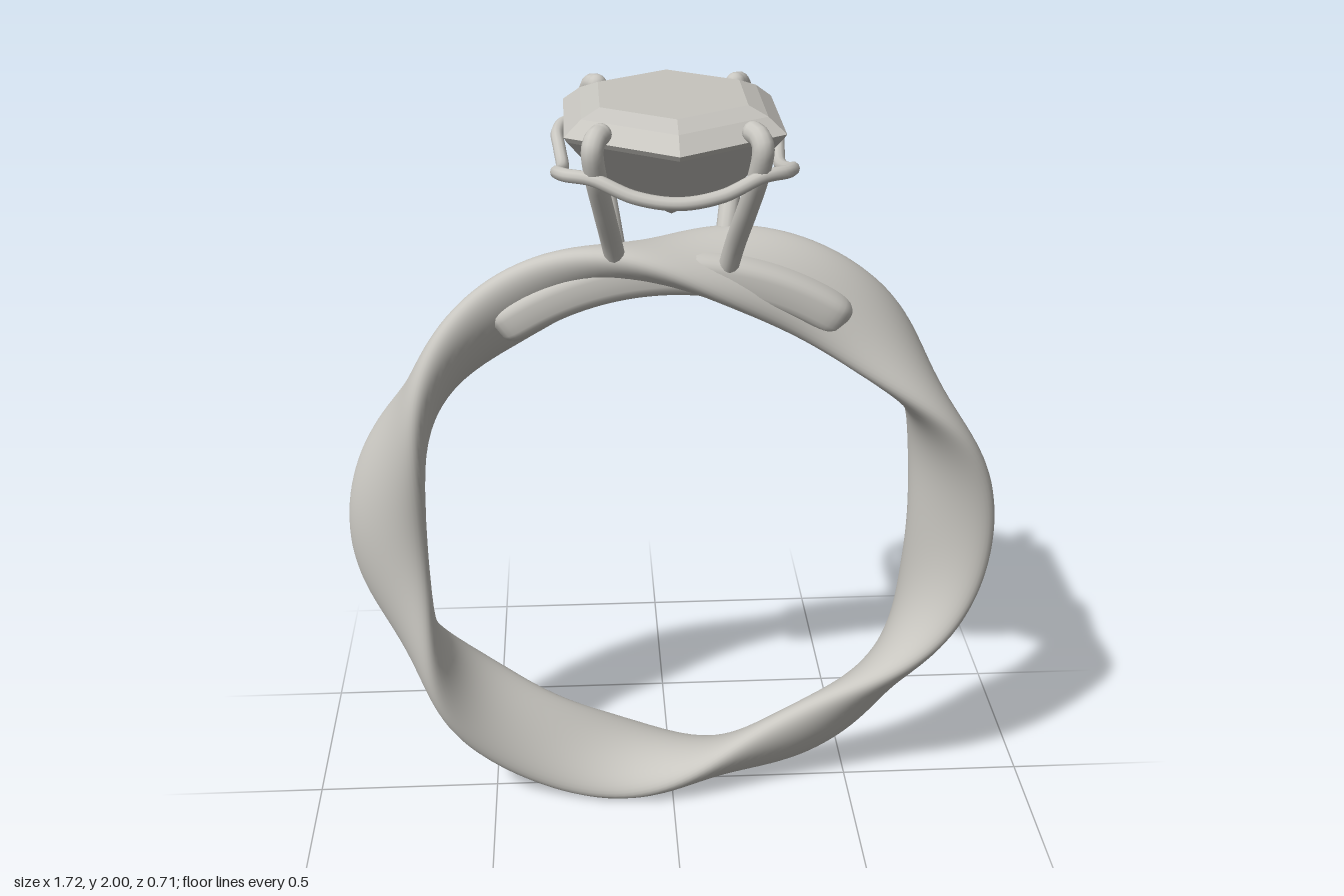
import * as THREE from 'three';

const CY = 0.8225, R = 0.755; // ring centre height and mid radius

// Sweeps a section around the z axis; section(theta, phi, t) returns [radial, z].
function sweep(from, to, n, m, closed, section) {
  const pos = [], index = [], rows = closed ? n : n + 1;
  for (let i = 0; i < rows; i++) {
    const t = i / n, a = from + (to - from) * t;
    for (let j = 0; j < m; j++) {
      const [r, z] = section(a, (j / m) * Math.PI * 2, t);
      pos.push(Math.cos(a) * r, CY + Math.sin(a) * r, z);
    }
  }
  for (let i = 0; i < n; i++) {
    for (let j = 0; j < m; j++) {
      const k = (j + 1) % m, i2 = (i + 1) % rows;
      const a = i * m + j, b = i2 * m + j, c = i2 * m + k, d = i * m + k;
      index.push(a, b, c, a, c, d);
    }
  }
  const g = new THREE.BufferGeometry();
  g.setAttribute('position', new THREE.Float32BufferAttribute(pos, 3));
  g.setIndex(index);
  g.computeVertexNormals();
  return g;
}

// Faceted stone from stacked scaled hexagons, listed from bottom to top.
function gemGeometry() {
  const hex = [[0, 0.355], [0.26, 0.18], [0.26, -0.18], [0, -0.355], [-0.26, -0.18], [-0.26, 0.18]];
  const levels = [[0, 1.7], [0.58, 1.8], [0.97, 1.932], [1, 1.945], [0.84, 1.98], [0.67, 2], [0, 2]];
  const pos = [];
  const p = (l, k) => [hex[k % 6][0] * l[0], l[1], hex[k % 6][1] * l[0]];
  for (let i = 0; i < levels.length - 1; i++) {
    const lo = levels[i], hi = levels[i + 1];
    for (let k = 0; k < 6; k++) {
      const a = p(lo, k), b = p(lo, k + 1), c = p(hi, k + 1), d = p(hi, k);
      if (lo[0] > 0) pos.push(...a, ...b, ...c);
      if (hi[0] > 0) pos.push(...a, ...c, ...d);
    }
  }
  const g = new THREE.BufferGeometry();
  g.setAttribute('position', new THREE.Float32BufferAttribute(pos, 3));
  g.computeVertexNormals();
  return g;
}

export function createModel() {
  const group = new THREE.Group();
  group.name = 'ring';
  const metal = new THREE.MeshStandardMaterial({ color: 0xc9c7c1 });
  metal.name = 'metal';
  const stone = new THREE.MeshStandardMaterial({ color: 0xc6c4be });
  stone.name = 'stone';
  const add = (name, geo, mat = metal) => {
    const mesh = new THREE.Mesh(geo, mat);
    mesh.name = name;
    group.add(mesh);
    return mesh;
  };

  // Band: an elliptical section that rocks back and forth three times per turn
  add('twistedBand', sweep(0, Math.PI * 2, 216, 40, true, (a, phi) => {
    const tilt = Math.PI / 2 - THREE.MathUtils.degToRad(55) * Math.cos(3 * a);
    const u = 0.125 * Math.cos(phi), v = 0.056 * Math.sin(phi);
    return [
      R + u * Math.cos(tilt) - v * Math.sin(tilt),
      u * Math.sin(tilt) + v * Math.cos(tilt),
    ];
  }));

  // Reinforcing bar under the setting, rounded off at both ends
  const half = THREE.MathUtils.degToRad(37);
  const soft = (v) => Math.sign(v) * Math.pow(Math.abs(v), 0.6);
  add('shoulderBar', sweep(Math.PI / 2 - half, Math.PI / 2 + half, 64, 32, false, (a, phi, t) => {
    const k = Math.pow(Math.max(0, 1 - Math.pow(Math.abs(2 * t - 1), 24)), 0.5);
    return [0.74 + 0.058 * k * soft(Math.cos(phi)), 0.094 * k * soft(Math.sin(phi))];
  }));

  // Gem
  stone.flatShading = false;
  add('gem', gemGeometry(), stone);

  // Four claws with rounded tips folding over the gem
  for (const sx of [1, -1]) {
    for (const sz of [1, -1]) {
      const pts = [
        [0.135, 1.57, 0.06], [0.15, 1.66, 0.11], [0.17, 1.77, 0.19],
        [0.188, 1.87, 0.252], [0.195, 1.94, 0.272], [0.187, 1.962, 0.255], [0.175, 1.966, 0.232],
      ].map(([x, y, z]) => new THREE.Vector3(x * sx, y, z * sz));
      add('claw', new THREE.TubeGeometry(new THREE.CatmullRomCurve3(pts), 40, 0.026, 12));
      for (const end of [pts[0], pts[pts.length - 1]]) {
        add('clawEnd', new THREE.SphereGeometry(0.026, 12, 8)).position.copy(end);
      }
    }
  }

  // Wavy wire rail joining the claws
  const quarter = [[0.265, 1.825, 0], [0.272, 1.84, 0.1], [0.277, 1.862, 0.175], [0.255, 1.872, 0.235],
    [0.195, 1.872, 0.272], [0.1, 1.838, 0.305], [0, 1.825, 0.317]];
  const flip = (list, sx, sz) => list.map(([x, y, z]) => [x * sx, y, z * sz]);
  const back = [...quarter].reverse();
  const loop = [
    ...quarter.slice(0, -1), ...flip(back, -1, 1).slice(0, -1),
    ...flip(quarter, -1, -1).slice(0, -1), ...flip(back, 1, -1).slice(0, -1),
  ].map((p) => new THREE.Vector3(...p));
  add('wireRail', new THREE.TubeGeometry(new THREE.CatmullRomCurve3(loop, true), 160, 0.016, 10, true));

  return group;
}
